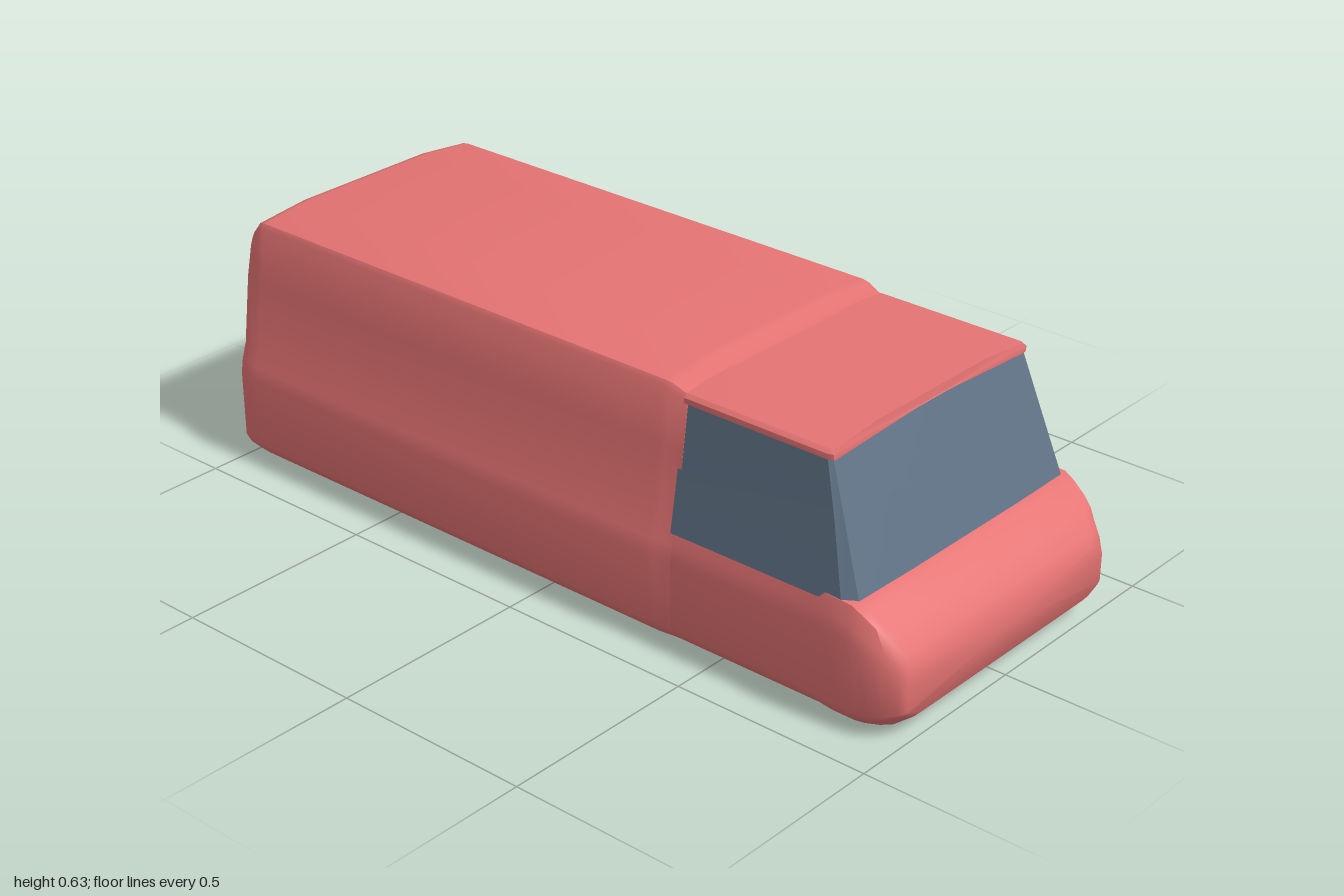
import * as THREE from 'three';
import { toCreasedNormals } from 'three/addons/utils/BufferGeometryUtils.js';

const paint = new THREE.MeshStandardMaterial({ color: 0xe57373 });
paint.name = 'red paint';
const glass = new THREE.MeshStandardMaterial({ color: 0x617487 });
glass.name = 'blue grey glass';

// Completes a half outline (x >= 0) into a closed symmetric ring
const mirror = (half) => [
  ...half,
  ...half.filter((p) => p[0] > 0).reverse().map(([x, y, z]) => [-x, y, z]),
];

// Skins a stack of rings with equal point counts, with optional end caps
function loft(rings, creaseDegrees, capped = true) {
  const n = rings[0].length;
  const points = rings.flat();
  const index = [];
  for (let r = 0; r < rings.length - 1; r++) {
    for (let i = 0; i < n; i++) {
      const a = r * n + i, b = r * n + (i + 1) % n;
      index.push(a, b, b + n, a, b + n, a + n);
    }
  }
  if (capped) {
    [0, rings.length - 1].forEach((r, end) => {
      const centre = points.length;
      points.push([0, 1, 2].map((k) => rings[r].reduce((s, p) => s + p[k], 0) / n));
      for (let i = 0; i < n; i++) {
        const a = r * n + i, b = r * n + (i + 1) % n;
        index.push(centre, ...(end ? [a, b] : [b, a]));
      }
    });
  }
  const geometry = new THREE.BufferGeometry();
  geometry.setAttribute('position', new THREE.Float32BufferAttribute(points.flat(), 3));
  geometry.setIndex(index);
  return toCreasedNormals(geometry, THREE.MathUtils.degToRad(creaseDegrees));
}

// Half cross-sections, from the bottom centre up to the top centre
const lowerSide = [
  [0, 0], [0.345, 0], [0.362, 0.006], [0.396, 0.038], [0.406, 0.055],
  [0.407, 0.225], [0.401, 0.26], [0.388, 0.3],
];
const bodySection = [
  ...lowerSide, [0.366, 0.47], [0.35, 0.606], [0.343, 0.618], [0.2, 0.633], [0, 0.633],
];
const noseSection = [...lowerSide, [0.365, 0.302], [0.2, 0.305], [0, 0.305]];

export function createModel() {
  const model = new THREE.Group();
  const add = (name, geometry, material) => {
    const mesh = new THREE.Mesh(geometry, material);
    mesh.name = name;
    model.add(mesh);
  };

  // Cargo body: z, side inset, lowest and highest y
  const bodyStations = [
    [-1, 0.012, 0.04, 0.572], [-0.985, 0.005, 0.022, 0.596], [-0.955, 0, 0.003, 0.63],
    [-0.94, 0, 0, 0.633], [0.325, 0, 0, 0.633], [0.345, 0.002, 0, 0.63],
    [0.375, 0.006, 0, 0.617], [0.39, 0.006, 0, 0.615],
  ];
  add('cargoBody', loft(bodyStations.map(([z, inset, low, high]) => mirror(
    bodySection.map(([x, y]) => {
      const top = y > 0.6 ? y - 0.633 + high : Math.min(y, high);
      return [Math.max(0, x - inset), Math.max(top, low + y * 0.3), z];
    }))), 40), paint);

  // Nose and lower cab: z, side inset, lowest and highest y
  const noseStations = [
    [0.39, 0.006, 0, 0.305], [0.77, 0.006, 0, 0.305], [0.81, 0, 0, 0.305],
    [0.87, 0, 0, 0.302], [0.895, 0.002, 0.003, 0.288], [0.93, 0.008, 0.011, 0.263],
    [0.955, 0.018, 0.019, 0.243], [0.985, 0.036, 0.04, 0.205], [1, 0.05, 0.056, 0.18],
  ];
  add('nose', loft(noseStations.map(([z, inset, low, high]) => mirror(
    noseSection.map(([x, y]) => [
      Math.max(0, x - inset), low + (y / 0.305) * (high - low), z,
    ]))), 50), paint);

  // Wraparound glass: y, side x, windscreen x, windscreen z, corner depth
  const glassRings = [
    [0.285, 0.389, 0.368, 0.877, 0.032],
    [0.45, 0.362, 0.35, 0.819, 0.018],
    [0.583, 0.344, 0.336, 0.772, 0.008],
  ];
  add('cabGlass', loft(glassRings.map(([y, side, front, z, corner]) => mirror([
    [0, y + 0.012, z], [0.2, y + 0.012, z], [front, y, z],
    [side, y, z - corner], [side, y, 0.38],
  ])), 25, false), glass);

  // Cab roof, with a crowned top and slightly raked front edge
  const roofSection = [
    [0, 0.594], [0.2, 0.594], [0.338, 0.579], [0.346, 0.581],
    [0.346, 0.594], [0.337, 0.602], [0.2, 0.615], [0, 0.615],
  ];
  add('cabRoof', loft([0.38, 0.765, 0.777].map((z, i) => mirror(
    roofSection.map(([x, y]) => [
      i === 2 ? x * 0.985 : x, y, i === 2 && y > 0.6 ? z - 0.004 : z,
    ]))), 30), paint);

  return model;
}
